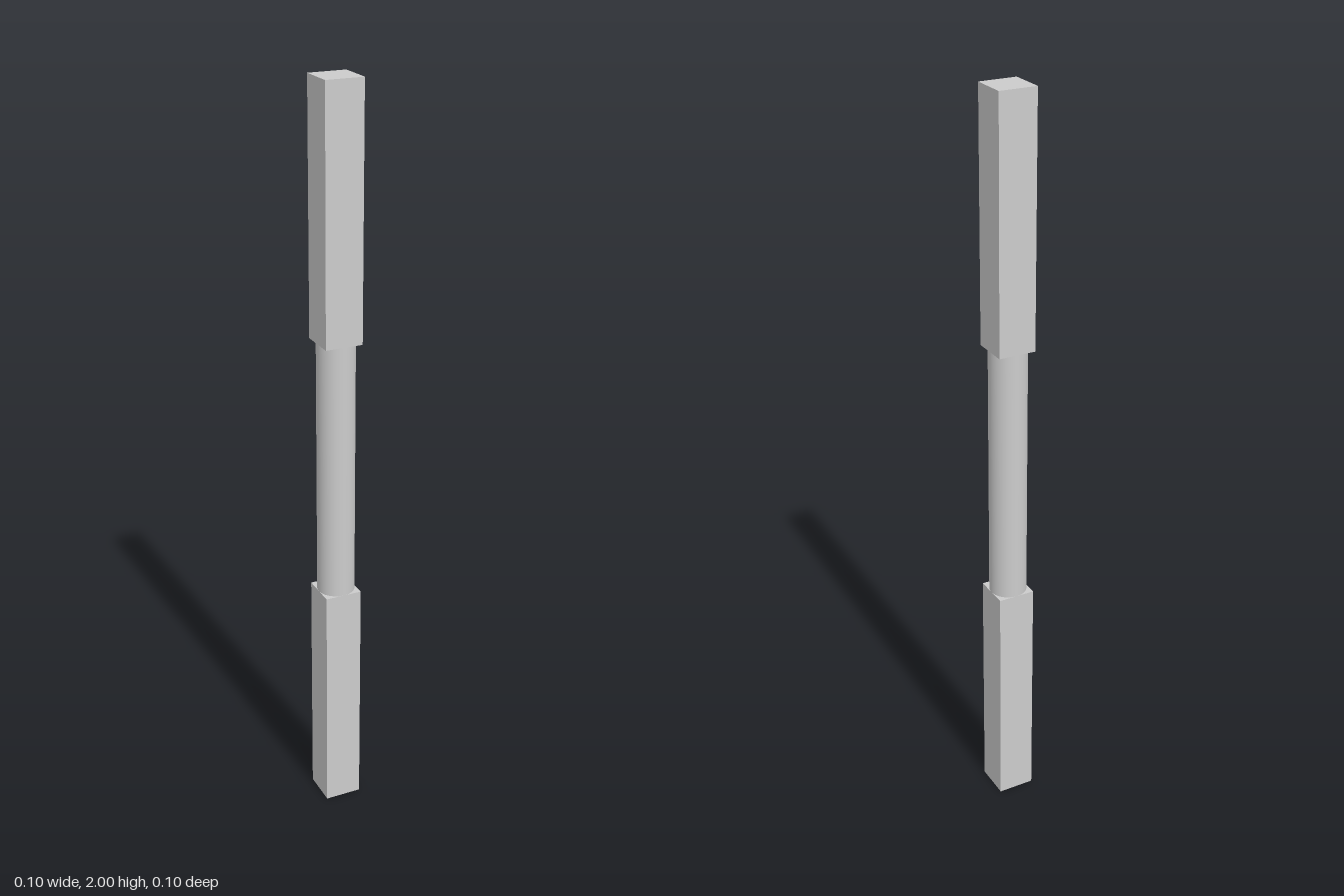
import * as THREE from 'three';

const WIDTH = 0.1;        // square section, also the shaft diameter
const BLOCK_HEIGHT = 0.65;
const SHAFT_HEIGHT = 0.7;

export function createModel() {
  const group = new THREE.Group();
  group.name = 'baluster';
  const material = new THREE.MeshStandardMaterial({ color: 0xcccccc });

  const add = (name, geometry, y) => {
    const mesh = new THREE.Mesh(geometry, material);
    mesh.name = name;
    mesh.position.y = y;
    group.add(mesh);
  };

  // Square blocks at both ends
  const block = new THREE.BoxGeometry(WIDTH, BLOCK_HEIGHT, WIDTH);
  add('lowerBlock', block, BLOCK_HEIGHT / 2);
  add('upperBlock', block, 2 - BLOCK_HEIGHT / 2);

  // Smooth round shaft between them, its ends hidden by the blocks
  const shaft = new THREE.CylinderGeometry(WIDTH / 2, WIDTH / 2, SHAFT_HEIGHT, 64, 1, true);
  add('roundShaft', shaft, 1);

  return group;
}
